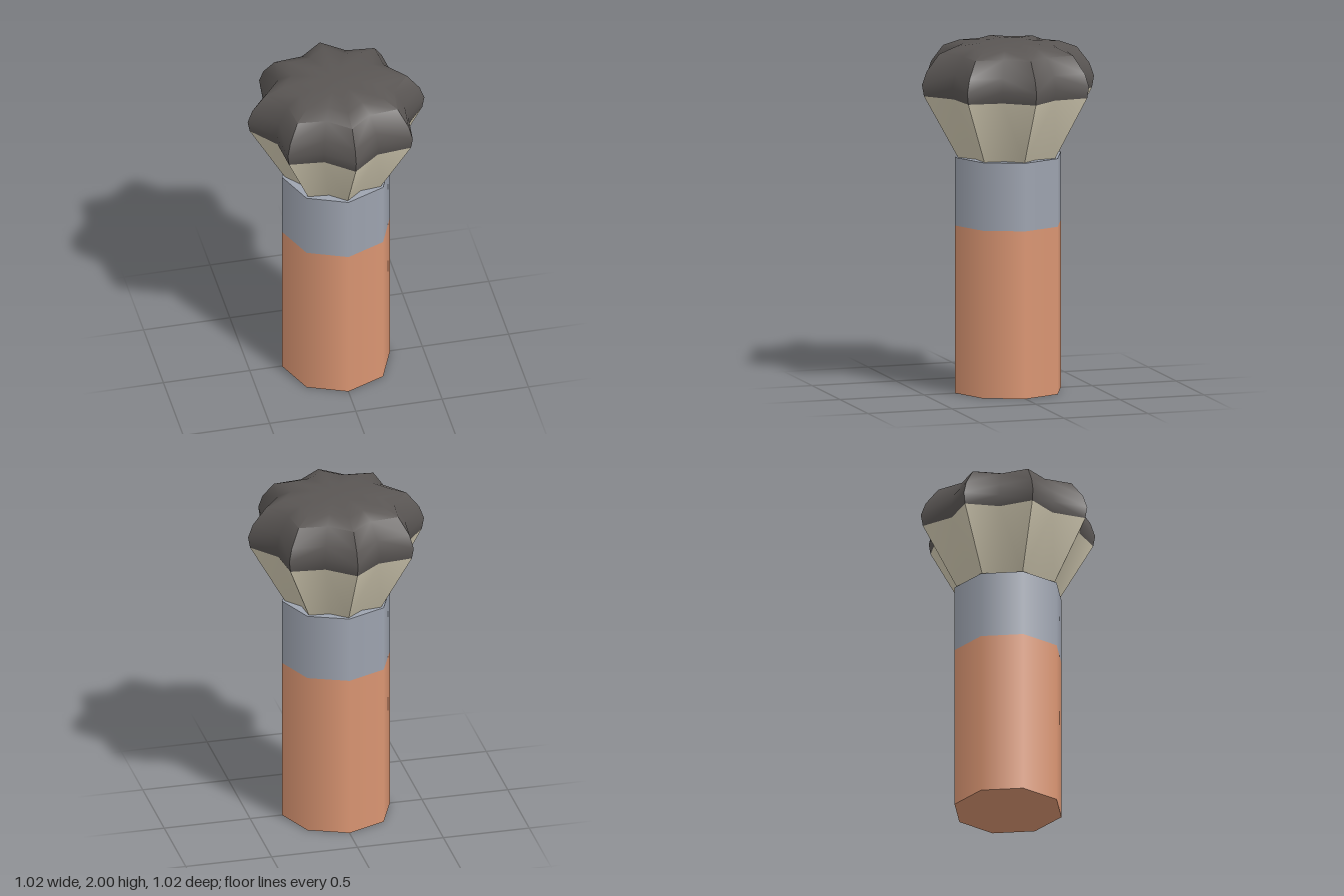
import * as THREE from 'three';
import { toCreasedNormals } from 'three/addons/utils/BufferGeometryUtils.js';

const mat = (name, color) => {
  const m = new THREE.MeshStandardMaterial({ color });
  m.name = name;
  return m;
};

const CREASE = THREE.MathUtils.degToRad(50);

// Eight-pointed star loft; each ring is [tip radius, notch radius, height]
function starLoft(rings, split) {
  const N = 16, pos = [], idx = [];
  for (const [tip, notch, y] of rings) {
    for (let i = 0; i < N; i++) {
      const a = (i / N) * Math.PI * 2;
      const r = i % 2 ? notch : tip;
      pos.push(r * Math.sin(a), y, r * Math.cos(a));
    }
  }
  for (let k = 0; k < rings.length - 1; k++) {
    for (let i = 0; i < N; i++) {
      const j = (i + 1) % N;
      const a = k * N + i, b = k * N + j, c = a + N, d = b + N;
      // mirror the diagonals so both flanks of a petal match
      if (i % 2) idx.push(a, b, c, b, d, c);
      else idx.push(a, b, d, a, d, c);
    }
  }
  // Centre of the crown
  const top = (rings.length - 1) * N;
  pos.push(0, 2, 0);
  for (let i = 0; i < N; i++) idx.push(top + i, top + ((i + 1) % N), top + N);

  const g = new THREE.BufferGeometry();
  g.setAttribute('position', new THREE.Float32BufferAttribute(pos, 3));
  g.setIndex(idx);
  const out = toCreasedNormals(g, CREASE);
  out.clearGroups();
  const cut = split * N * 6;
  out.addGroup(0, cut, 0);
  out.addGroup(cut, idx.length - cut, 1);
  return out;
}

export function createModel() {
  const group = new THREE.Group();
  const copper = mat('copper', 0xdb9673);
  const grey = mat('blue grey', 0x9ea4b0);
  const cream = mat('cream', 0xd2cab2);
  const charcoal = mat('charcoal', 0x5a5654);

  // Octagonal shaft and collar
  const octagon = (name, y0, y1, material) => {
    const g = new THREE.CylinderGeometry(0.314, 0.314, y1 - y0, 8);
    const mesh = new THREE.Mesh(g, material);
    mesh.name = name;
    mesh.position.y = (y0 + y1) / 2;
    group.add(mesh);
  };
  octagon('shaft', 0, 0.96, copper);
  octagon('collar', 0.96, 1.35, grey);

  // Fluted head: cream flare below, charcoal cap above
  const profile = [
    [0.298, 1.35], [0.5, 1.71], [0.512, 1.775], [0.485, 1.85],
    [0.41, 1.947], [0.31, 1.985], [0.15, 1.998],
  ];
  const rings = profile.map(([r, y]) => [r, r * 0.81, y]);
  const head = new THREE.Mesh(starLoft(rings, 1), [cream, charcoal]);
  head.name = 'flutedHead';
  group.add(head);

  return group;
}
